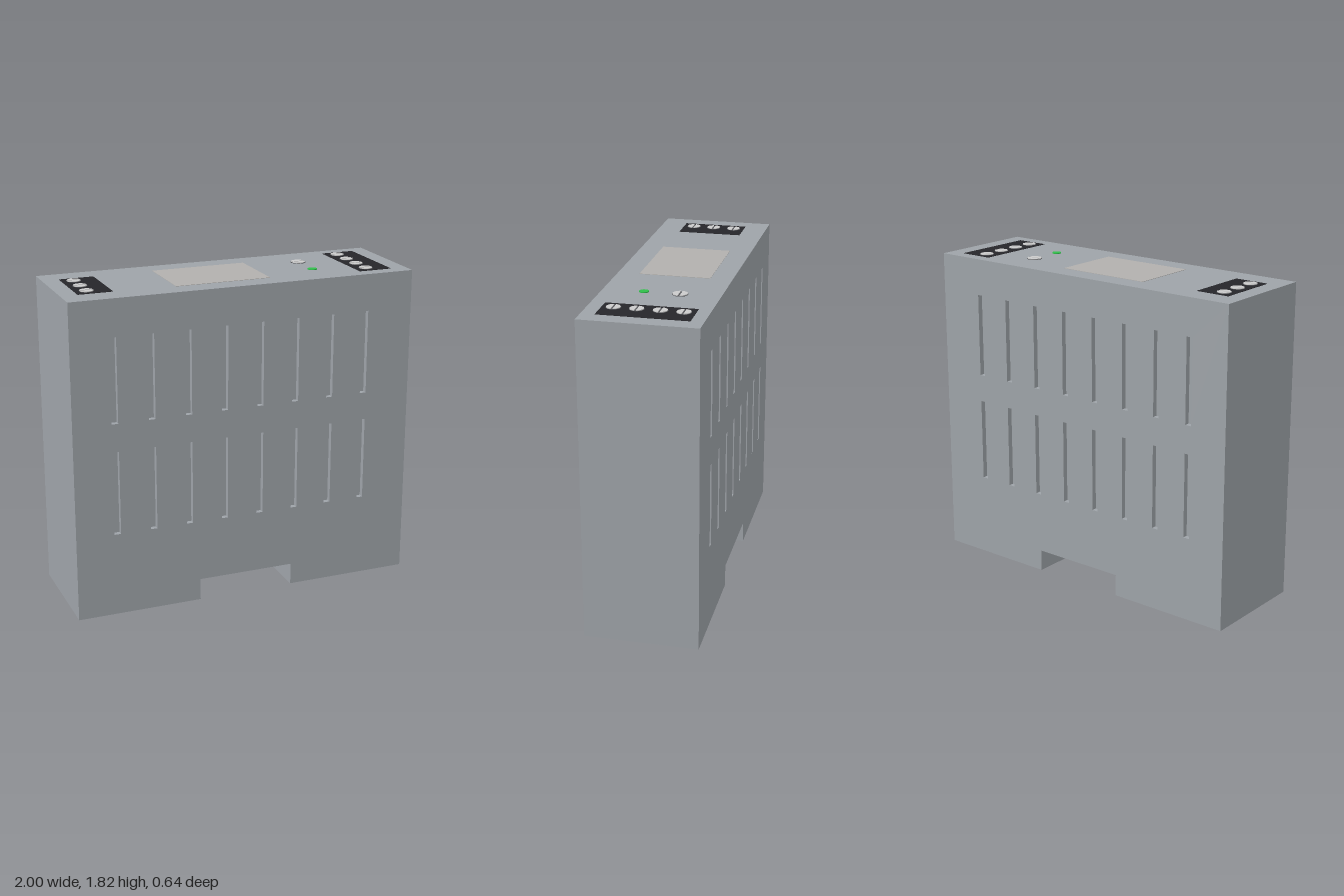
import * as THREE from 'three';

const TOP = 1.81, DEPTH = 0.636, SLOT_DEPTH = 0.03;
const mat = (color) => new THREE.MeshStandardMaterial({ color });
const housingMat = mat(0x9ea3a8), blackMat = mat(0x26262a), metalMat = mat(0xc4c4c2);
const grooveMat = mat(0x55565a), labelMat = mat(0xb2b0ad), greenMat = mat(0x2fbf4a);

function add(parent, name, geometry, material, x = 0, y = 0, z = 0) {
  const mesh = new THREE.Mesh(geometry, material);
  mesh.name = name;
  mesh.position.set(x, y, z);
  parent.add(mesh);
  return mesh;
}

// Slotted screw: groove floor with two raised half-discs, groove along x
function addScrew(parent, name, r, x, z, y) {
  const screw = new THREE.Group();
  screw.name = name;
  screw.position.set(x, y, z);
  add(screw, 'screwBase', new THREE.CylinderGeometry(r, r, 0.02, 32), grooveMat, 0, -0.009, 0);
  const a = Math.asin(0.13);
  const half = new THREE.Shape();
  half.absarc(0, 0, r * 0.93, a, Math.PI - a, false);
  half.closePath();
  const geo = new THREE.ExtrudeGeometry(half, { depth: 0.005, bevelEnabled: false, curveSegments: 20 });
  geo.rotateX(-Math.PI / 2);
  for (const turn of [0, Math.PI]) add(screw, 'screwHead', geo, metalMat).rotation.y = turn;
  parent.add(screw);
}

// Terminal block set into the top face, with a row of screws
function addTerminal(parent, name, x, width, length, screwX, screwZs) {
  const block = new THREE.Group();
  block.name = name;
  add(block, 'terminalBlock', new THREE.BoxGeometry(width, 0.06, length), blackMat, x, TOP - 0.028, -0.003);
  for (const z of screwZs) addScrew(block, 'terminalScrew', 0.04, screwX, z, TOP + 0.002);
  parent.add(block);
}

export function createModel() {
  const model = new THREE.Group();
  model.name = 'railModule';

  // Housing outline with the rail notch underneath
  const outline = new THREE.Shape();
  [[-1, 0], [-0.28, 0], [-0.28, 0.125], [0.28, 0.125], [0.28, 0], [1, 0], [1, TOP], [-1, TOP]]
    .forEach(([x, y], i) => (i ? outline.lineTo(x, y) : outline.moveTo(x, y)));
  outline.closePath();

  // Two rows of eight vent slots, closed inside so they are shallow on both faces
  const w = 0.037, h = 0.48;
  const fill = new THREE.BoxGeometry(w, h, DEPTH - 2 * SLOT_DEPTH);
  for (const y of [0.72, 1.36]) {
    for (let i = 0; i < 8; i++) {
      const x = -0.763 + i * 0.211;
      const slot = new THREE.Path();
      slot.moveTo(x - w / 2, y - h / 2);
      slot.lineTo(x - w / 2, y + h / 2);
      slot.lineTo(x + w / 2, y + h / 2);
      slot.lineTo(x + w / 2, y - h / 2);
      slot.closePath();
      outline.holes.push(slot);
      add(model, 'ventSlotFloor', fill, housingMat, x, y, 0);
    }
  }
  const body = new THREE.ExtrudeGeometry(outline, { depth: DEPTH, bevelEnabled: false });
  body.translate(0, 0, -DEPTH / 2);
  add(model, 'housing', body, housingMat);

  // Top face: terminals, label plate, adjusting screw and indicator light
  addTerminal(model, 'rightTerminal', -0.808, 0.195, 0.365, -0.84, [-0.125, -0.003, 0.118]);
  addTerminal(model, 'leftTerminal', 0.808, 0.193, 0.49, 0.778, [-0.187, -0.065, 0.058, 0.18]);
  add(model, 'labelPlate', new THREE.BoxGeometry(0.548, 0.01, 0.393), labelMat, -0.09, TOP - 0.003, 0);
  addScrew(model, 'adjustingScrew', 0.043, 0.487, -0.1, TOP + 0.001);
  add(model, 'indicatorLight', new THREE.CylinderGeometry(0.026, 0.026, 0.02, 24), greenMat, 0.487, TOP - 0.005, 0.094);

  return model;
}
